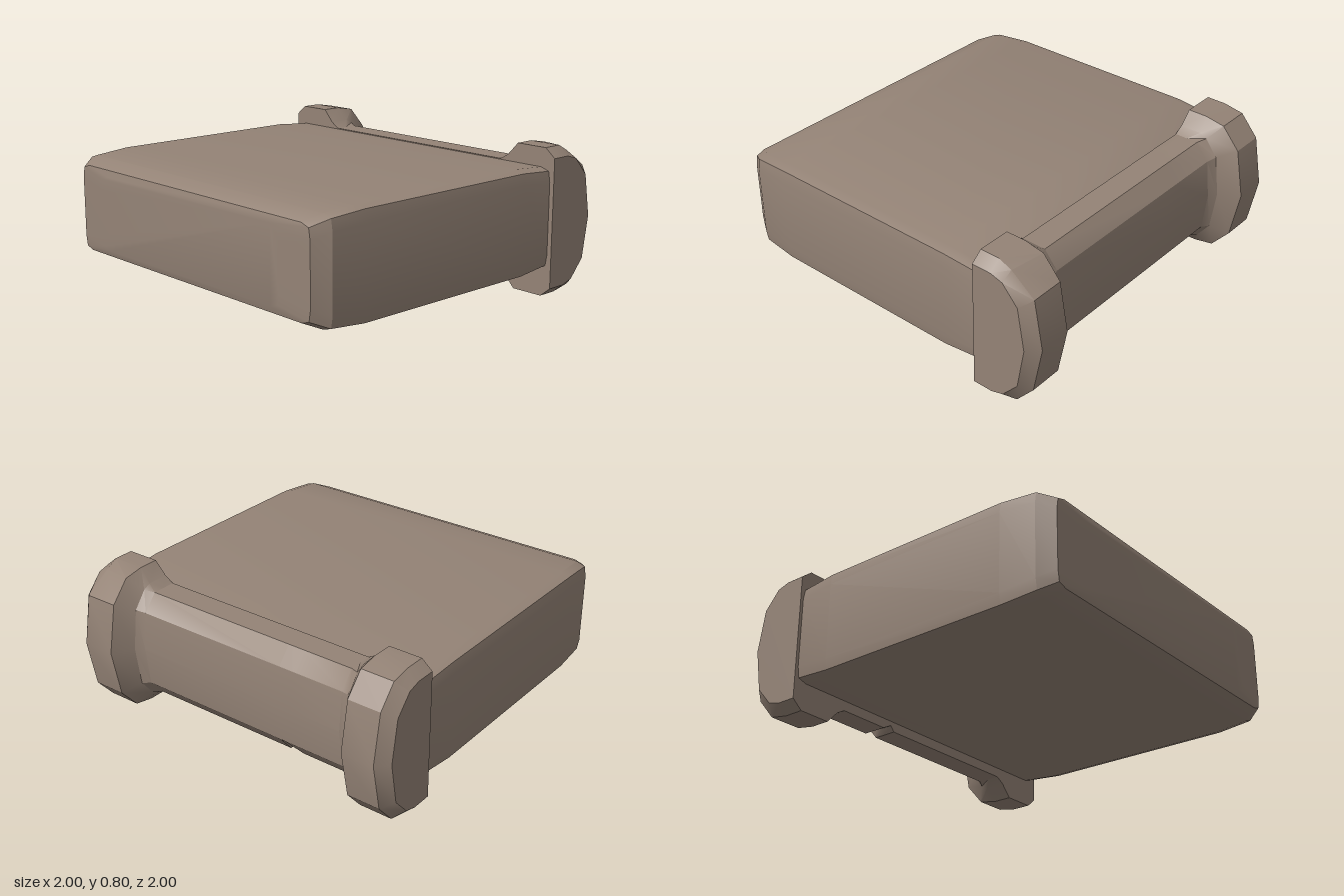
import * as THREE from 'three';
import { toCreasedNormals } from 'three/addons/utils/BufferGeometryUtils.js';

// Skin over closed rings (counter-clockwise seen from the far end), flat caps at both ends
function loft(rings, crease) {
  const n = rings[0].length, pos = [], index = [];
  rings.forEach(r => r.forEach(p => pos.push(...p)));
  for (let i = 0; i < rings.length - 1; i++) {
    for (let j = 0; j < n; j++) {
      const k = (j + 1) % n;
      const a = i * n + j, b = i * n + k, c = b + n, d = a + n;
      index.push(a, b, c, a, c, d);
    }
  }
  const last = (rings.length - 1) * n;
  for (let j = 1; j < n - 1; j++) {
    index.push(0, j + 1, j, last, last + j, last + j + 1);
  }
  const g = new THREE.BufferGeometry();
  g.setAttribute('position', new THREE.Float32BufferAttribute(pos, 3));
  g.setIndex(index);
  return toCreasedNormals(g, crease);
}

// Bevelled rectangle at a given x: half height h, half depth d
function slabRing(x, h, d) {
  const rising = [[h - 0.075, d], [h - 0.016, d - 0.01], [h, d - 0.06]];
  const falling = [...rising].reverse();
  const outline = [
    ...falling,
    ...rising.map(([y, z]) => [-y, z]),
    ...falling.map(([y, z]) => [-y, -z]),
    ...rising.map(([y, z]) => [y, -z]),
  ];
  return outline.map(([y, z]) => [x, 0.425 + y, -0.004 + z]);
}

// Lower half of a D-shaped profile as [x, depth below the centre], mirrored upward
function spineRing(z, lower) {
  const upper = lower.slice(0, -1).reverse().map(([x, r]) => [x, -r]);
  return [...lower, ...upper].map(([x, r]) => [x, 0.4 - r, z]);
}

export function createModel() {
  const model = new THREE.Group();
  const stone = new THREE.MeshStandardMaterial({ color: 0x948376 });
  stone.name = 'brown stone';

  function add(name, geometry) {
    const mesh = new THREE.Mesh(geometry, stone);
    mesh.name = name;
    model.add(mesh);
  }

  // Wide slab with worn, slightly swollen sides
  add('slab', loft([
    slabRing(-1, 0.2, 0.72),
    slabRing(-0.985, 0.235, 0.92),
    slabRing(-0.9, 0.272, 0.974),
    slabRing(-0.7, 0.287, 0.986),
    slabRing(0.42, 0.287, 0.986),
    slabRing(0.63, 0.27, 0.978),
  ], 0.5));

  // Half-round spine: flange faces, rims, flares and barrel
  const face = [[0.63, 0.35], [0.74, 0.35], [0.81, 0.33], [0.9, 0.23], [0.94, 0]];
  const rim = [[0.63, 0.4], [0.74, 0.4], [0.85, 0.38], [0.95, 0.265], [1, 0]];
  const flare = [[0.63, 0.33], [0.75, 0.33], [0.79, 0.31], [0.86, 0.22], [0.89, 0]];
  const barrel = [[0.63, 0.3], [0.7, 0.3], [0.765, 0.3], [0.84, 0.21], [0.863, 0]];

  // Small crack through the lower edge of the barrel
  const crack = spineRing(-0.285, barrel);
  crack[0] = [0.63, 0.13, -0.285];
  crack[1] = [0.7, 0.13, -0.285];
  crack[2] = [0.74, 0.145, -0.285];

  // Chipped upper edge on the front rim
  const chipped = spineRing(0.94, rim);
  chipped[6] = [0.81, 0.765, 0.935];

  add('spine', loft([
    spineRing(-1, face),
    spineRing(-0.94, rim),
    spineRing(-0.755, rim),
    spineRing(-0.69, flare),
    spineRing(-0.64, barrel),
    spineRing(-0.34, barrel),
    crack,
    spineRing(-0.26, barrel),
    spineRing(0.64, barrel),
    spineRing(0.69, flare),
    spineRing(0.755, rim),
    chipped,
    spineRing(1, face),
  ], 0.45));

  return model;
}
